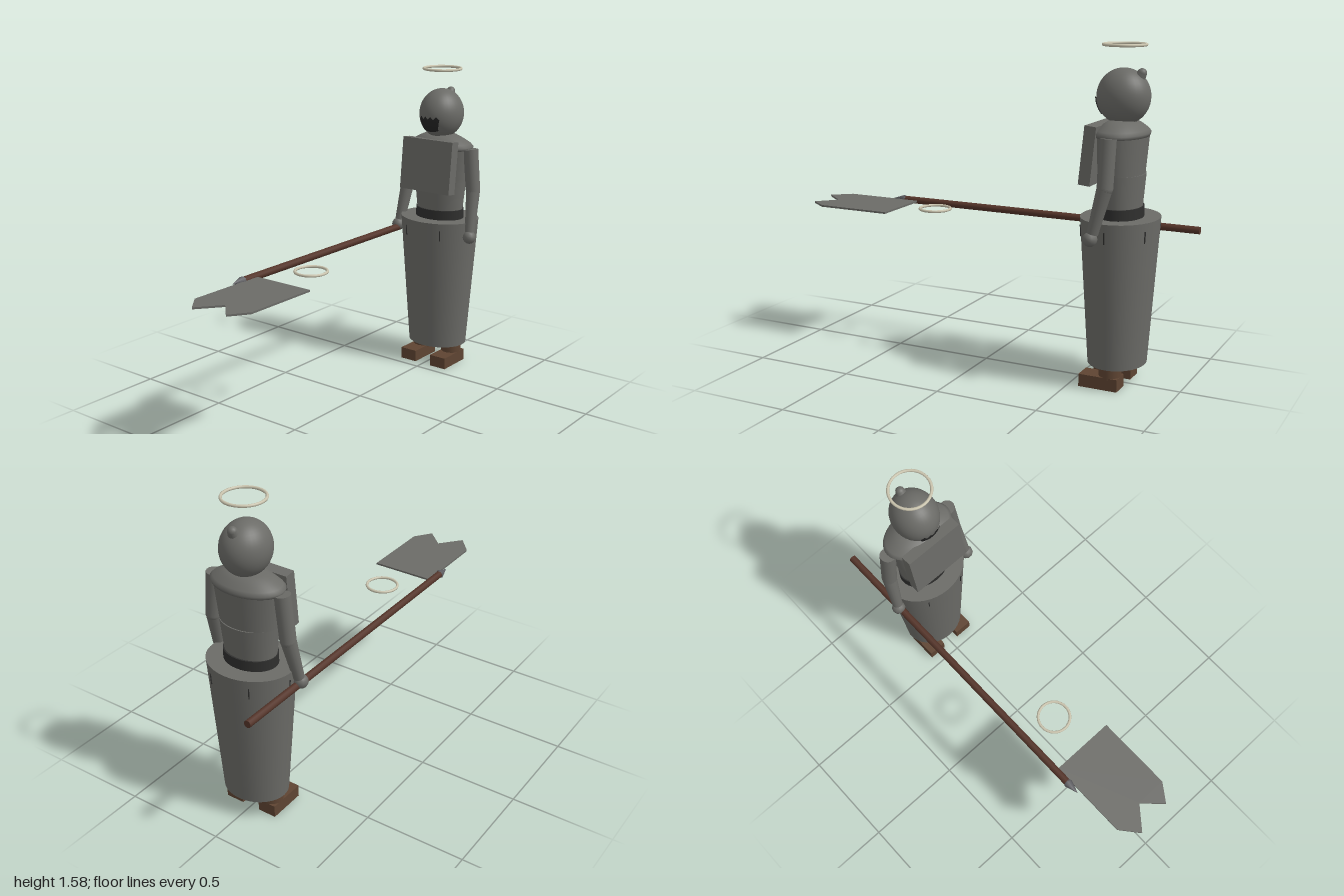
import * as THREE from 'three';

const mat = (name, color) => Object.assign(new THREE.MeshStandardMaterial({ color }), { name });

export function createModel() {
  const root = new THREE.Group();
  root.name = 'robedSpearBearer';
  const cloth = mat('greyCloth', 0x6b6b67);
  const dark = mat('darkLeather', 0x2f2f2e);
  const wood = mat('darkWood', 0x543429);
  const boot = mat('brownLeather', 0x5e4432);
  const pale = mat('paleMetal', 0xc9c3ad);
  const steel = mat('steel', 0x5c5c60);

  const body = new THREE.Group();
  body.name = 'body';
  body.position.z = -0.69;
  root.add(body);

  const add = (name, geometry, material, pos = [0, 0, 0], parent = body) => {
    const m = new THREE.Mesh(geometry, material);
    m.name = name;
    m.position.set(...pos);
    parent.add(m);
    return m;
  };
  // Round part between two points
  const limb = (name, a, b, rA, rB, material, sides = 16) => {
    const A = new THREE.Vector3(...a), B = new THREE.Vector3(...b);
    const d = B.clone().sub(A);
    const m = add(name, new THREE.CylinderGeometry(rB, rA, d.length(), sides), material);
    m.position.copy(A).add(B).multiplyScalar(0.5);
    m.quaternion.setFromUnitVectors(new THREE.Vector3(0, 1, 0), d.normalize());
    return m;
  };
  // Upright oval section
  const oval = (name, y0, y1, r0, r1, depth, material) => {
    const m = add(name, new THREE.CylinderGeometry(r1, r0, y1 - y0, 40), material, [0, (y0 + y1) / 2, 0]);
    m.scale.z = depth;
    return m;
  };

  // Robe and torso
  oval('skirt', 0.105, 0.8, 0.16, 0.214, 0.845, cloth);
  oval('belt', 0.79, 0.85, 0.134, 0.134, 0.77, dark);
  oval('lowerTorso', 0.84, 1.0, 0.128, 0.145, 0.74, cloth);
  oval('upperTorso', 1.0, 1.18, 0.147, 0.168, 0.69, cloth);
  const mantle = add('shoulderMantle', new THREE.LatheGeometry([
    [0, 1.17], [0.178, 1.17], [0.185, 1.185], [0.17, 1.2], [0.13, 1.222], [0.09, 1.24], [0, 1.25],
  ].map(p => new THREE.Vector2(...p)), 40), cloth);
  mantle.scale.z = 0.65;

  // Small slits around the skirt
  for (let i = 0; i < 6; i++) {
    const a = Math.PI / 6 + i * Math.PI / 3;
    const slit = add('skirtSlit', new THREE.BoxGeometry(0.005, 0.055, 0.008), dark,
      [0.208 * Math.sin(a), 0.735, 0.176 * Math.cos(a)]);
    slit.rotation.set(0.07, a, 0, 'YXZ');
  }

  // Chest plate, leaning out at the bottom
  const plate = add('chestPlate', new THREE.BoxGeometry(0.304, 0.27, 0.056), cloth, [0, 1.089, 0.111]);
  plate.rotation.x = -0.1;

  // Head with knob at the back
  const R = new THREE.Vector3(0.112, 0.128, 0.124);
  add('head', new THREE.SphereGeometry(1, 32, 24), cloth, [0, 1.347, 0]).scale.copy(R);
  limb('headKnob', [0, 1.42, -0.065], [0, 1.455, -0.084], 0.03, 0.022, cloth);
  add('headKnobTip', new THREE.SphereGeometry(0.022, 16, 12), cloth, [0, 1.453, -0.083]);

  // Jagged beard patch lying on the face
  const beard = new THREE.PlaneGeometry(2, 1, 16, 6);
  const p = beard.attributes.position;
  for (let i = 0; i < p.count; i++) {
    const u = p.getX(i), v = p.getY(i) + 0.5;
    const zig = Math.abs(((u + 1) * 2) % 1 - 0.5) * 2;
    const top = -0.003 - 0.016 * zig, bottom = -0.086 + 0.008 * u * u;
    const x = u * (0.042 + 0.016 * v), y = bottom + (top - bottom) * v;
    const z = R.z * Math.sqrt(1 - (x / R.x) ** 2 - (y / R.y) ** 2);
    p.setXYZ(i, x * 1.02, y, z + 0.005);
  }
  beard.computeVertexNormals();
  const beardMat = mat('beardBlack', 0x242424);
  beardMat.side = THREE.DoubleSide;
  add('beard', beard, beardMat, [0, 1.347, 0]);

  // Arms, hands, legs and boots
  for (const s of [-1, 1]) {
    const side = s > 0 ? 'left' : 'right';
    limb(side + 'UpperArm', [s * 0.183, 1.178, 0], [s * 0.205, 0.96, 0.002], 0.038, 0.037, cloth);
    add(side + 'Elbow', new THREE.SphereGeometry(0.036, 16, 12), cloth, [s * 0.205, 0.96, 0.002]);
    limb(side + 'Forearm', [s * 0.205, 0.965, 0.002], [s * 0.222, 0.755, 0.05], 0.036, 0.026, cloth);
    add(side + 'Hand', new THREE.SphereGeometry(0.034, 10, 8), cloth, [s * 0.226, 0.73, 0.06]);
    limb(side + 'BootShaft', [s * 0.09, 0.05, 0], [s * 0.09, 0.12, 0], 0.053, 0.053, boot);
    add(side + 'Boot', new THREE.BoxGeometry(0.094, 0.06, 0.188), boot, [s * 0.094, 0.03, 0.043]);
  }

  // Halo
  const ring = (name, r, pos) => {
    add(name, new THREE.TorusGeometry(r, 0.007, 8, 32), pale, pos, root).rotation.x = Math.PI / 2;
  };
  ring('halo', 0.096, [0, 1.577, -0.69]);

  // Level spear with pointed head
  const shaft = add('spearShaft', new THREE.CylinderGeometry(0.018, 0.018, 1.59, 12), wood, [-0.22, 0.716, -0.205], root);
  shaft.rotation.x = Math.PI / 2;
  const tip = add('spearHead', new THREE.LatheGeometry([
    [0, 0], [0.013, 0], [0.022, 0.025], [0, 0.09],
  ].map(q => new THREE.Vector2(...q)), 8), steel, [-0.22, 0.716, 0.57], root);
  tip.rotation.x = Math.PI / 2;

  // Swallow-tailed banner lying level beside the spear, with a ring above it
  const cut = new THREE.Shape([
    [-0.205, 0.51], [0.113, 0.51], [0.113, 0.89], [0.05, 0.978], [-0.04, 0.89], [-0.13, 1], [-0.205, 0.91],
  ].map(q => new THREE.Vector2(...q)));
  const banner = add('banner', new THREE.ExtrudeGeometry(cut, { depth: 0.009, bevelEnabled: false }),
    cloth, [0, 0.718, 0], root);
  banner.rotation.x = Math.PI / 2;
  ring('bannerRing', 0.077, [-0.047, 0.726, 0.312]);

  return root;
}
